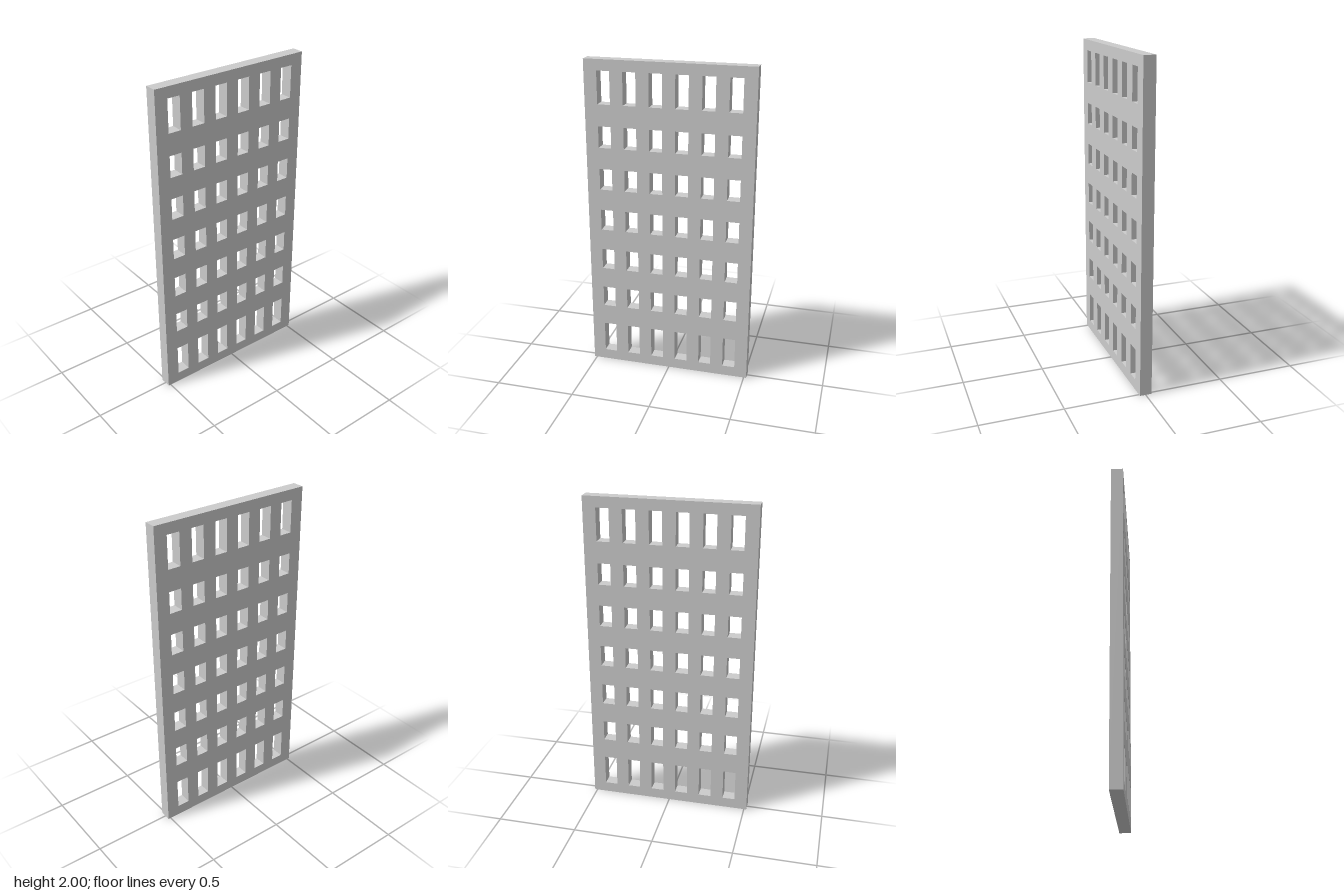
import * as THREE from 'three';

const HEIGHT = 2;
const DEPTH = 1.032;
const THICKNESS = 0.074;
const ROW = HEIGHT / 30;   // vertical module
const COL = DEPTH / 13;    // horizontal module: 6 openings between 7 piers

// Traces a rectangle on a Shape or Path
function rect(path, x0, y0, x1, y1) {
  path.moveTo(x0, y0);
  path.lineTo(x1, y0);
  path.lineTo(x1, y1);
  path.lineTo(x0, y1);
  path.closePath();
  return path;
}

export function createModel() {
  const model = new THREE.Group();
  model.name = 'perforatedPanel';

  // Panel outline
  const outline = rect(new THREE.Shape(), -DEPTH / 2, 0, DEPTH / 2, HEIGHT);

  // Window openings: taller in the bottom and top rows
  for (let row = 0; row < 7; row++) {
    const bottom = row === 0 ? 1 : 2 + row * 4;
    const top = row === 6 ? 29 : 4 + row * 4;
    for (let col = 0; col < 6; col++) {
      const left = -DEPTH / 2 + (1 + col * 2) * COL;
      outline.holes.push(rect(new THREE.Path(), left, bottom * ROW, left + COL, top * ROW));
    }
  }

  // Extrude through the thickness, then turn the face towards x
  const geometry = new THREE.ExtrudeGeometry(outline, { depth: THICKNESS, bevelEnabled: false });
  geometry.translate(0, 0, -THICKNESS / 2);
  geometry.rotateY(-Math.PI / 2);

  const panel = new THREE.Mesh(geometry, new THREE.MeshStandardMaterial({ color: 0xcccccc }));
  panel.name = 'panelWithOpenings';
  model.add(panel);
  return model;
}
